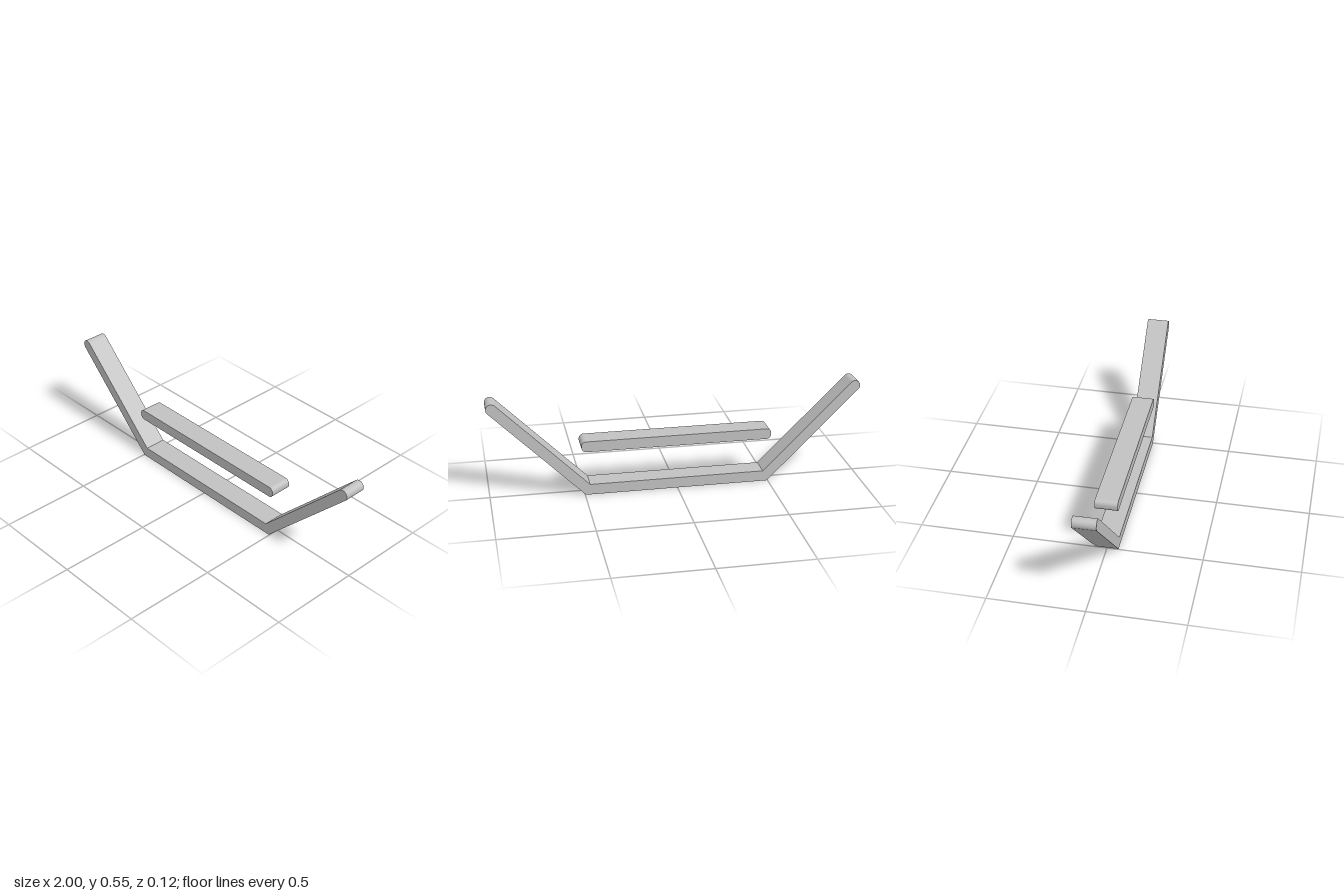
import * as THREE from 'three';

const DEPTH = 0.12;
const R = 0.029; // half the bar thickness

// Extrude a front outline, centred on z = 0
function addBar(group, name, shape, material) {
  const geometry = new THREE.ExtrudeGeometry(shape, { depth: DEPTH, bevelEnabled: false, curveSegments: 6 });
  geometry.translate(0, 0, -DEPTH / 2);
  const mesh = new THREE.Mesh(geometry, material);
  mesh.name = name;
  group.add(mesh);
}

export function createModel() {
  const group = new THREE.Group();
  group.name = 'bracket';
  const grey = new THREE.MeshStandardMaterial({ color: 0xc0c0c0 });
  grey.name = 'light grey';

  // Flat base with two mitred arms rising at 45 degrees to rounded tips
  const tipX = 1 - R, tipY = 0.516, q = Math.PI / 4;
  const outer = tipX - tipY + R * Math.SQRT2;
  const inner = outer - 2 * R * Math.tan(Math.PI / 8);
  const frame = new THREE.Shape();
  frame.moveTo(-outer, 0);
  frame.lineTo(outer, 0);
  frame.absarc(tipX, tipY, R, -q, 3 * q, false);
  frame.lineTo(inner, 2 * R);
  frame.lineTo(-inner, 2 * R);
  frame.absarc(-tipX, tipY, R, q, 5 * q, false);
  frame.closePath();
  addBar(group, 'angledFrame', frame, grey);

  // Separate straight bar with rounded ends, floating above the base
  const barY = 0.274, half = 0.513, c = 0.025;
  const bar = new THREE.Shape();
  bar.moveTo(-half + c, barY - R);
  bar.absarc(half - c, barY - R + c, c, -2 * q, 0, false);
  bar.absarc(half - c, barY + R - c, c, 0, 2 * q, false);
  bar.absarc(-half + c, barY + R - c, c, 2 * q, 4 * q, false);
  bar.absarc(-half + c, barY - R + c, c, 4 * q, 6 * q, false);
  addBar(group, 'upperBar', bar, grey);

  return group;
}
